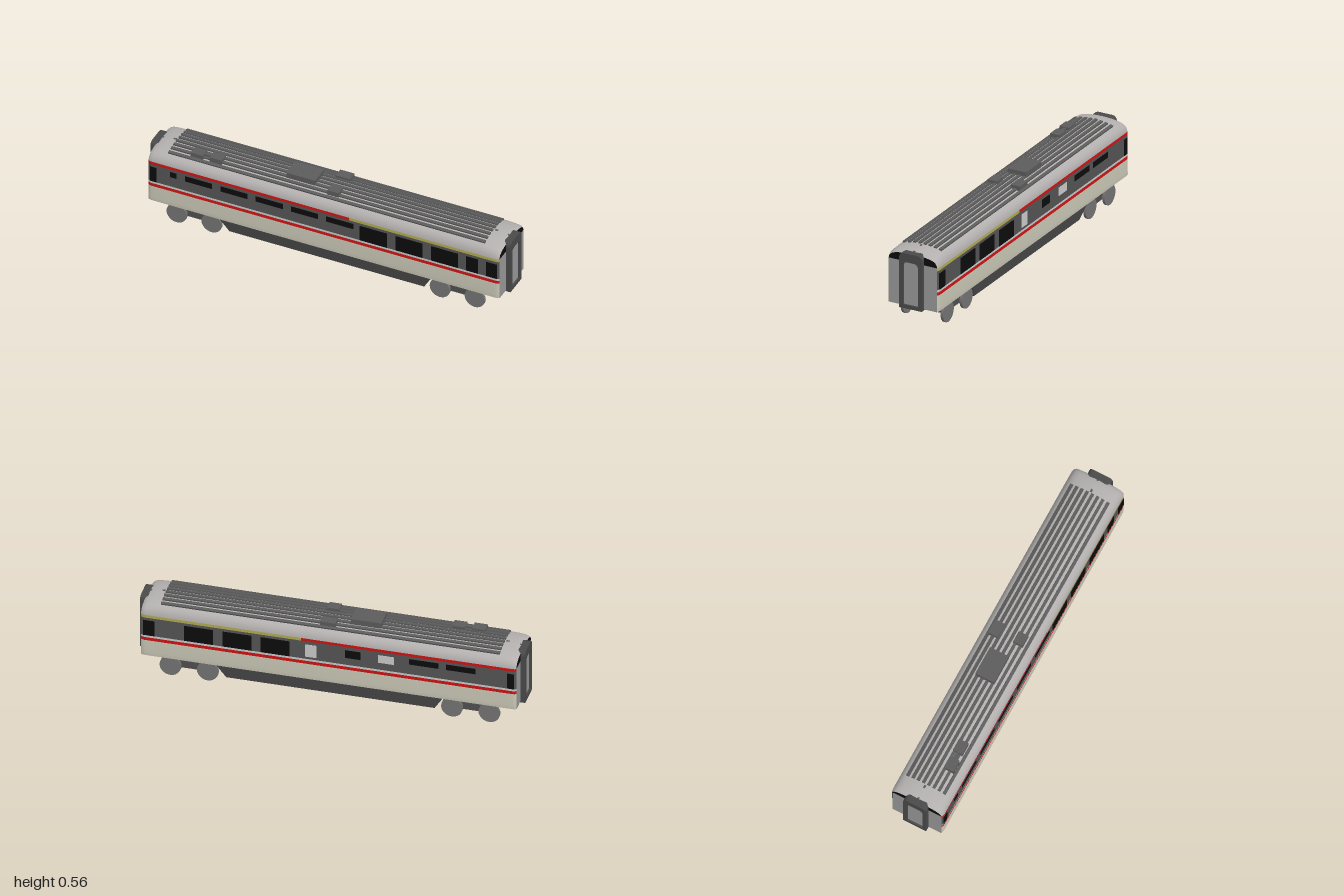
import * as THREE from 'three';

const mat = (color) => new THREE.MeshStandardMaterial({ color, side: THREE.DoubleSide });
const M = {
  beige: mat(0xcccab8), red: mat(0xd01414), pale: mat(0xc4c4c4), band: mat(0x555555),
  yellow: mat(0xb4ac50), roof: mat(0xb4b0b0), rib: mat(0x5c5c5c), black: mat(0x0c0c0c),
  end: mat(0x999999), frame: mat(0x4a4a4a), under: mat(0x505050), wheel: mat(0x747474), white: mat(0xcccccc),
};

// Roof cross-section: [half width, height]
const EAVES = 0.445;
const ROOF = [[0.184, EAVES], [0.181, 0.465], [0.17, 0.488], [0.152, 0.504], [0.125, 0.515], [0.08, 0.524], [0.04, 0.529], [0, 0.53]];
// Stations towards each end: [distance, width scale, roof height scale]
const TIP = [[1.1, 1, 1], [1.17, 1, 0.95], [1.205, 1, 0.87], [1.22, 0.985, 0.8], [1.23, 0.955, 0.7]];
const STATIONS = [...TIP.map(([u, w, k]) => [-u, w, k]).reverse(), [0.18, 1, 1], ...TIP];

function roofHeight(z) {
  const a = Math.abs(z);
  for (let i = 1; i < ROOF.length; i++) {
    const [w0, y0] = ROOF[i - 1], [w1, y1] = ROOF[i];
    if (a >= w1) return y0 + (y1 - y0) * (w0 - a) / (w0 - w1);
  }
  return 0.53;
}

function add(parent, name, geometry, material, x = 0, y = 0, z = 0) {
  const mesh = new THREE.Mesh(geometry, material);
  mesh.name = name;
  mesh.position.set(x, y, z);
  parent.add(mesh);
  return mesh;
}

const box = (parent, name, material, [w, h, d], [x, y, z]) =>
  add(parent, name, new THREE.BoxGeometry(w, h, d), material, x, y, z);

// Sweep a piece of the cross-section along the stations on one side
function sweep(parent, name, profile, material, side, stations = STATIONS) {
  const pos = [], index = [], n = profile.length;
  stations.forEach(([u, w, k], i) => {
    profile.forEach(([hw, y], j) => {
      pos.push(u, y > EAVES ? EAVES + (y - EAVES) * k : y, side * hw * w);
      if (i && j) {
        const d = i * n + j, c = d - 1, b = d - n, a = b - 1;
        if (side > 0) index.push(a, c, d, a, d, b);
        else index.push(a, d, c, a, b, d);
      }
    });
  });
  const g = new THREE.BufferGeometry();
  g.setAttribute('position', new THREE.Float32BufferAttribute(pos, 3));
  g.setIndex(index);
  g.computeVertexNormals();
  add(parent, name, g, material);
}

// Arched outline for the gangway
function arch(Type, hw, y0, y1, r) {
  const s = new Type();
  s.moveTo(-hw, y0);
  s.lineTo(hw, y0);
  s.lineTo(hw, y1 - r);
  s.quadraticCurveTo(hw, y1, hw - r, y1);
  s.lineTo(r - hw, y1);
  s.quadraticCurveTo(-hw, y1, -hw, y1 - r);
  s.closePath();
  return s;
}

function makeEnd(side) {
  const end = new THREE.Group();
  end.name = side > 0 ? 'frontEnd' : 'rearEnd';
  const [u, w, k] = TIP[TIP.length - 1];
  // Dark arch under the roof and grey panel below it
  const half = ROOF.map(([x, y]) => [x * w, EAVES + (y - EAVES) * k]);
  const outline = [...half, ...half.slice(0, -1).reverse().map(([x, y]) => [-x, y])];
  const top = new THREE.Shape(outline.map(([x, y]) => new THREE.Vector2(x, y)));
  add(end, 'endArch', new THREE.ShapeGeometry(top), M.black, 0, 0, u);
  add(end, 'endPanel', new THREE.PlaneGeometry(0.368 * w, 0.305), M.end, 0, 0.2925, u);
  // Gangway frame with recessed door
  const frame = arch(THREE.Shape, 0.082, 0.135, 0.515, 0.035);
  frame.holes.push(arch(THREE.Path, 0.055, 0.16, 0.455, 0.035));
  const g = new THREE.ExtrudeGeometry(frame, { depth: 0.05, bevelEnabled: false, curveSegments: 6 });
  add(end, 'gangwayFrame', g, M.frame, 0, 0, 1.212);
  add(end, 'gangwayDoor', new THREE.ShapeGeometry(arch(THREE.Shape, 0.056, 0.158, 0.456, 0.035)), M.end, 0, 0, 1.25);
  // Ridge from the roof to the gangway
  box(end, 'roofRidge', M.rib, [0.014, 0.02, 0.1], [0, 0.514, 1.165]).rotation.x = 0.13;
  end.rotation.y = side * Math.PI / 2;
  return end;
}

function makeBogie(side) {
  const bogie = new THREE.Group();
  bogie.name = side > 0 ? 'frontBogie' : 'rearBogie';
  for (const u of [0.8, 1.045]) {
    for (const z of [-0.145, 0.145]) {
      const g = new THREE.CylinderGeometry(0.07, 0.07, 0.018, 24).rotateX(Math.PI / 2);
      add(bogie, 'wheel', g, M.wheel, side * u, 0.07, z);
    }
    add(bogie, 'axle', new THREE.CylinderGeometry(0.014, 0.014, 0.28, 10).rotateX(Math.PI / 2), M.under, side * u, 0.07, 0);
  }
  box(bogie, 'bogieFrame', M.under, [0.25, 0.05, 0.25], [side * 0.922, 0.075, 0]);
  box(bogie, 'bogiePivot', M.under, [0.1, 0.05, 0.1], [side * 0.922, 0.12, 0]);
  return bogie;
}

export function createModel() {
  const model = new THREE.Group();
  model.name = 'railwayCarriage';
  const car = new THREE.Group();
  car.name = 'carriage';
  car.rotation.y = -Math.PI / 4;
  model.add(car);

  // Side walls in horizontal bands, and the roof
  const split = STATIONS.findIndex(([u]) => u === 0.18);
  for (const side of [-1, 1]) {
    sweep(car, 'lowerSide', [[0.18, 0.14], [0.184, 0.17], [0.184, 0.256]], M.beige, side);
    sweep(car, 'lowerStripe', [[0.184, 0.256], [0.184, 0.278]], M.red, side);
    sweep(car, 'paleStripe', [[0.184, 0.278], [0.184, 0.293]], M.pale, side);
    sweep(car, 'windowBand', [[0.184, 0.293], [0.184, 0.425]], M.band, side);
    sweep(car, 'upperStripeRear', [[0.184, 0.425], [0.184, EAVES]], M.red, side, STATIONS.slice(0, split + 1));
    sweep(car, 'upperStripeFront', [[0.184, 0.425], [0.184, EAVES]], M.yellow, side, STATIONS.slice(split));
    sweep(car, 'roof', ROOF, M.roof, side);
    car.add(makeEnd(side), makeBogie(side));
  }
  box(car, 'floor', M.under, [2.45, 0.012, 0.35], [0, 0.147, 0]);

  // Windows: [start, end, bottom, top, material] along the length
  const pane = (side, [a, b, y0, y1, m]) =>
    box(car, 'window', m, [b - a, y1 - y0, 0.006], [(a + b) / 2, (y0 + y1) / 2, side * 0.183]);
  const SMALL = [0.366, 0.406, M.black], BIG = [0.294, 0.406, M.black];
  for (const side of [-1, 1]) {
    for (const u of [0.255, 0.505, 0.755]) pane(side, [u, u + 0.19, ...BIG]);
    pane(side, [-1.215, -1.172, ...BIG]);
  }
  for (let i = 0; i < 5; i++) {
    const u = -0.97 + i * 0.2475;
    pane(1, [u, u + 0.19, ...SMALL]);
  }
  pane(1, [-1.075, -1.03, ...SMALL]);
  pane(1, [1.0, 1.085, ...BIG]);
  pane(1, [1.14, 1.215, ...BIG]);
  pane(-1, [1.14, 1.215, ...BIG]);
  pane(-1, [-0.965, -0.77, ...SMALL]);
  pane(-1, [-0.72, -0.53, ...SMALL]);
  pane(-1, [-0.43, -0.325, 0.345, 0.402, M.white]);
  pane(-1, [-0.21, -0.11, 0.345, 0.402, M.black]);
  pane(-1, [0.078, 0.153, 0.31, 0.402, M.white]);

  // Roof ribs, tilted to follow the curve
  for (let i = 0; i < 8; i++) {
    const z = (i - 3.5) * 0.037;
    const rib = box(car, 'roofRib', M.rib, [2.22, 0.018, 0.02], [0, roofHeight(z) + 0.001, z]);
    rib.rotation.x = Math.atan2(roofHeight(z - 0.01) - roofHeight(z + 0.01), 0.02);
  }

  // Roof equipment
  box(car, 'roofUnit', M.rib, [0.2, 0.045, 0.135], [-0.215, 0.542, 0]);
  for (const [u, z, l] of [[0.02, -0.092, 0.1], [0.03, 0.075, 0.08], [-0.92, 0.085, 0.085], [-0.79, 0.08, 0.085]])
    box(car, 'roofVent', M.rib, [l, 0.035, 0.068], [u, 0.534, z]);
  box(car, 'ventLink', M.rib, [0.06, 0.02, 0.02], [-0.855, 0.536, 0.08]);

  // Tapered equipment trough between the bogies
  const trough = new THREE.BoxGeometry(1.5, 0.11, 0.33);
  const p = trough.attributes.position;
  for (let i = 0; i < p.count; i++)
    if (p.getY(i) < 0) p.setXYZ(i, p.getX(i) * 0.91, p.getY(i), p.getZ(i) * 0.82);
  trough.computeVertexNormals();
  add(car, 'underfloorTrough', trough, M.under, 0, 0.087, 0);
  return model;
}
